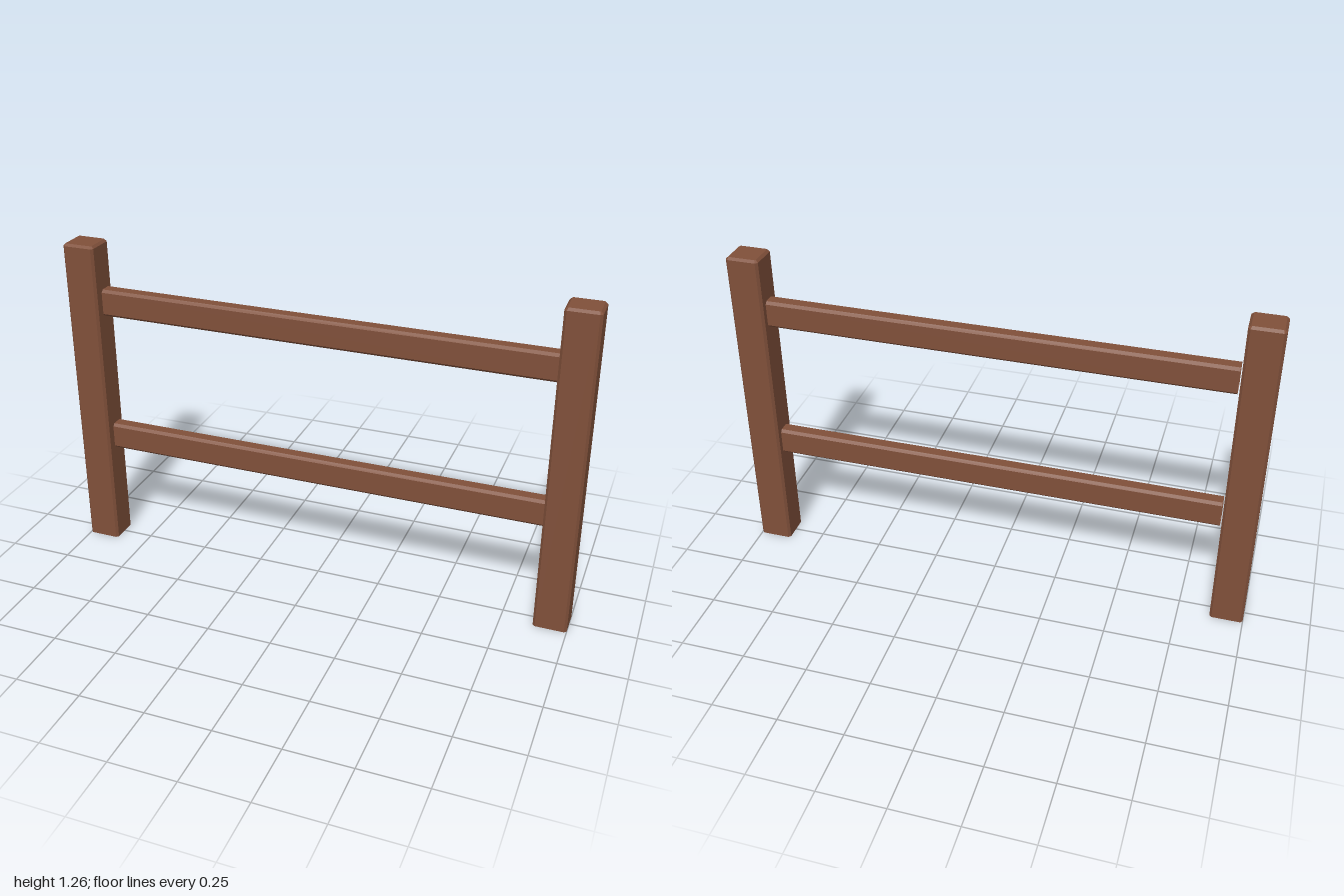
import * as THREE from 'three';

// Octagonal outline of a beam: a rectangle with chamfered corners, in order around +y
function outline(w, d, c, y, inset = 0) {
  const a = w / 2 - inset, b = d / 2 - inset;
  return [
    [a, b - c], [a, c - b], [a - c, -b], [c - a, -b],
    [-a, c - b], [-a, b - c], [c - a, b], [a - c, b],
  ].map(([x, z]) => new THREE.Vector3(x, y, z));
}

// Skin between successive outlines, with an optional cap on the last one
function loft(loops, capped) {
  const points = [];
  for (let k = 0; k + 1 < loops.length; k++) {
    const lo = loops[k], hi = loops[k + 1];
    for (let i = 0; i < lo.length; i++) {
      const j = (i + 1) % lo.length;
      points.push(lo[i], lo[j], hi[j], lo[i], hi[j], hi[i]);
    }
  }
  if (capped) {
    const top = loops[loops.length - 1];
    for (let i = 1; i + 1 < top.length; i++) points.push(top[0], top[i], top[i + 1]);
  }
  const geometry = new THREE.BufferGeometry().setFromPoints(points);
  geometry.computeVertexNormals();
  return geometry;
}

export function createModel() {
  const fence = new THREE.Group();
  fence.name = 'fence';
  const wood = new THREE.MeshStandardMaterial({ color: 0x80503a, side: THREE.DoubleSide });
  wood.name = 'brown wood';

  // Upright posts: open underneath, bevelled around the top
  const W = 0.127, D = 0.118, H = 1.263, C = 0.009;
  const postGeometry = loft([
    outline(W, D, C, 0),
    outline(W, D, C, H - C),
    outline(W, D, C * 0.4, H, C),
  ], true);
  for (const side of [-1, 1]) {
    const post = new THREE.Mesh(postGeometry, wood);
    post.name = side > 0 ? 'leftPost' : 'rightPost';
    post.position.x = side * (1 - W / 2);
    fence.add(post);
  }

  // Horizontal rails: chamfered beams that stop just short of the right post
  const start = -0.866, end = 0.876;
  const railGeometry = loft([
    outline(0.106, 0.06, 0.01, start),
    outline(0.106, 0.06, 0.01, end),
  ], false);
  railGeometry.rotateZ(-Math.PI / 2);
  for (const [name, y] of [['lowerRail', 0.465], ['upperRail', 1.033]]) {
    const rail = new THREE.Mesh(railGeometry, wood);
    rail.name = name;
    rail.position.y = y;
    fence.add(rail);
  }
  return fence;
}
